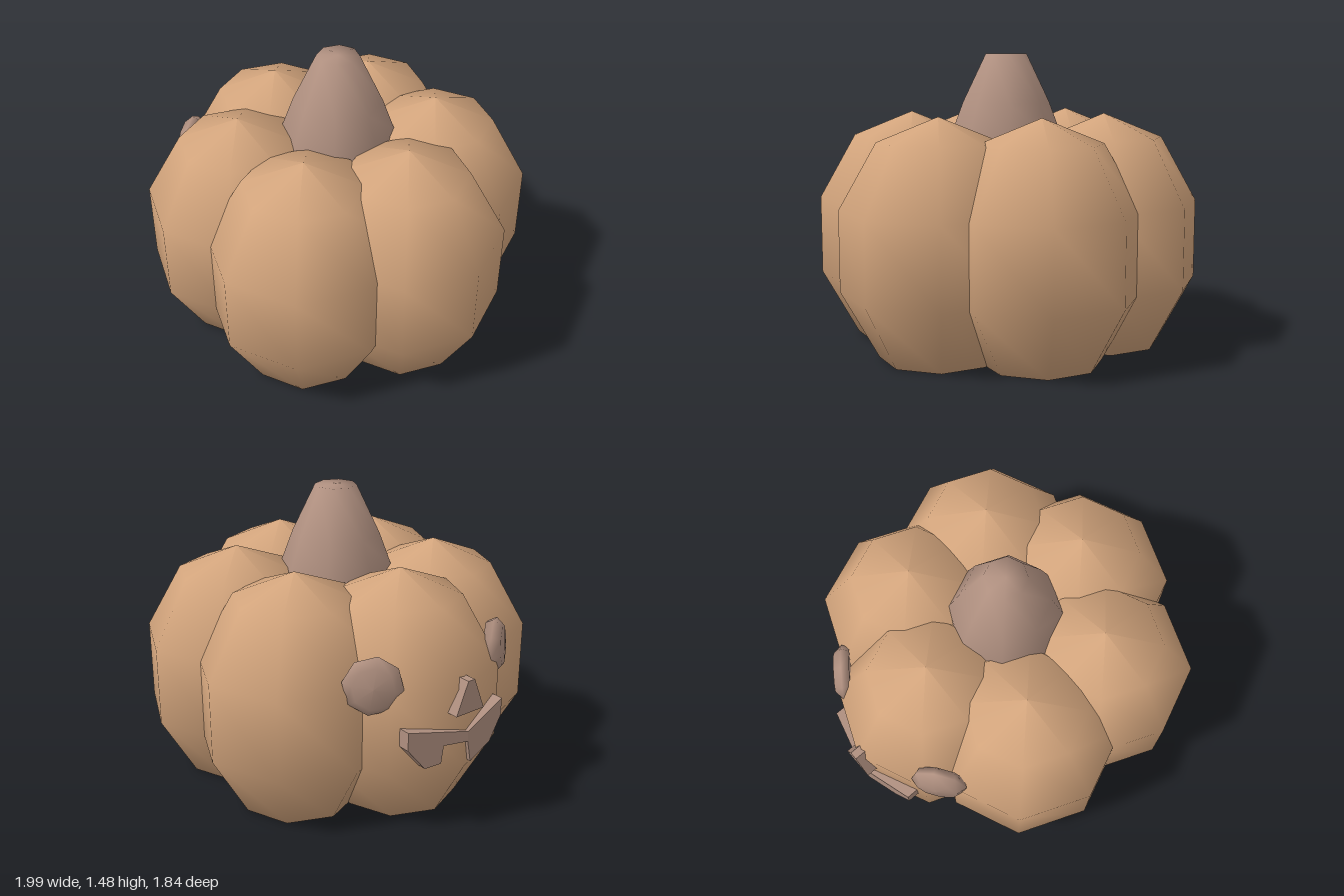
import * as THREE from 'three';

const SHIFT = 0.012; // the body sits slightly off centre because the nose sticks out

function lathe(points, sides) {
  return new THREE.LatheGeometry(points.map(([r, y]) => new THREE.Vector2(r, y)), sides);
}

// Extrude a (z, y) outline towards -x, from x = -back to x = -(back + depth)
function plate(outline, back, depth) {
  const shape = new THREE.Shape(outline.map(([z, y]) => new THREE.Vector2(z, y)));
  const geo = new THREE.ExtrudeGeometry(shape, { depth, bevelEnabled: false });
  geo.rotateY(-Math.PI / 2);
  geo.translate(-back, 0, 0);
  return geo;
}

export function createModel() {
  const model = new THREE.Group();
  model.name = 'pumpkin';
  const skin = new THREE.MeshStandardMaterial({ color: 0xd2a47c });
  skin.name = 'pumpkinSkin';
  const wood = new THREE.MeshStandardMaterial({ color: 0xb09080 });
  wood.name = 'stemBrown';

  const add = (name, geo, mat) => {
    const mesh = new THREE.Mesh(geo, mat);
    mesh.name = name;
    model.add(mesh);
    return mesh;
  };

  // Six overlapping eight-sided lobes with flat bottoms
  const lobeGeo = lathe([[0, 0], [0.298, 0], [0.483, 0.33], [0.483, 0.73], [0.298, 1.057], [0, 1.178]], 8);
  for (let i = 0; i < 6; i++) {
    const a = (i * Math.PI) / 3;
    add('lobe', lobeGeo, skin).position.set(SHIFT + 0.502 * Math.cos(a), 0, 0.502 * Math.sin(a));
  }

  // Flared stem, carried down through the core to close the underside
  add('stem', lathe([[0.3, 0.9], [0.285, 1.06], [0.222, 1.23], [0.105, 1.475], [0, 1.476]], 8), wood)
    .position.x = SHIFT;
  add('core', new THREE.CylinderGeometry(0.26, 0.26, 0.95, 8).translate(SHIFT, 0.485, 0), wood);

  // Two domed eyes facing outwards on the -x side
  const eyeGeo = lathe([[0, -0.04], [0.125, -0.04], [0.142, 0], [0.1, 0.04], [0, 0.048]], 8);
  for (const side of [-1, 1]) {
    const eye = add('eye', eyeGeo, wood);
    eye.position.set(-0.763, 0.772, side * 0.383);
    eye.quaternion.setFromUnitVectors(new THREE.Vector3(0, 1, 0),
      new THREE.Vector3(-0.8, 0.08, side * 0.59).normalize());
  }

  // Triangular nose
  add('nose', plate([[-0.085, 0.62], [0.085, 0.62], [0.02, 0.78], [-0.02, 0.78]], 0.935, 0.06), wood);

  // Smiling mouth in two halves with one tooth gap, bent around the lobe
  const halves = [
    [[-0.295, 0.57], [0, 0.52], [0, 0.468], [-0.12, 0.47], [-0.13, 0.38], [-0.21, 0.37], [-0.295, 0.48]],
    [[0, 0.52], [0.295, 0.57], [0.295, 0.48], [0.2, 0.38], [0.03, 0.35], [0, 0.468]],
  ];
  for (const outline of halves) {
    const geo = plate(outline, 0.925, 0.065);
    const p = geo.attributes.position;
    for (let i = 0; i < p.count; i++) p.setX(i, p.getX(i) + 0.27 * Math.abs(p.getZ(i)));
    geo.computeVertexNormals();
    add('mouth', geo, wood);
  }

  return model;
}
